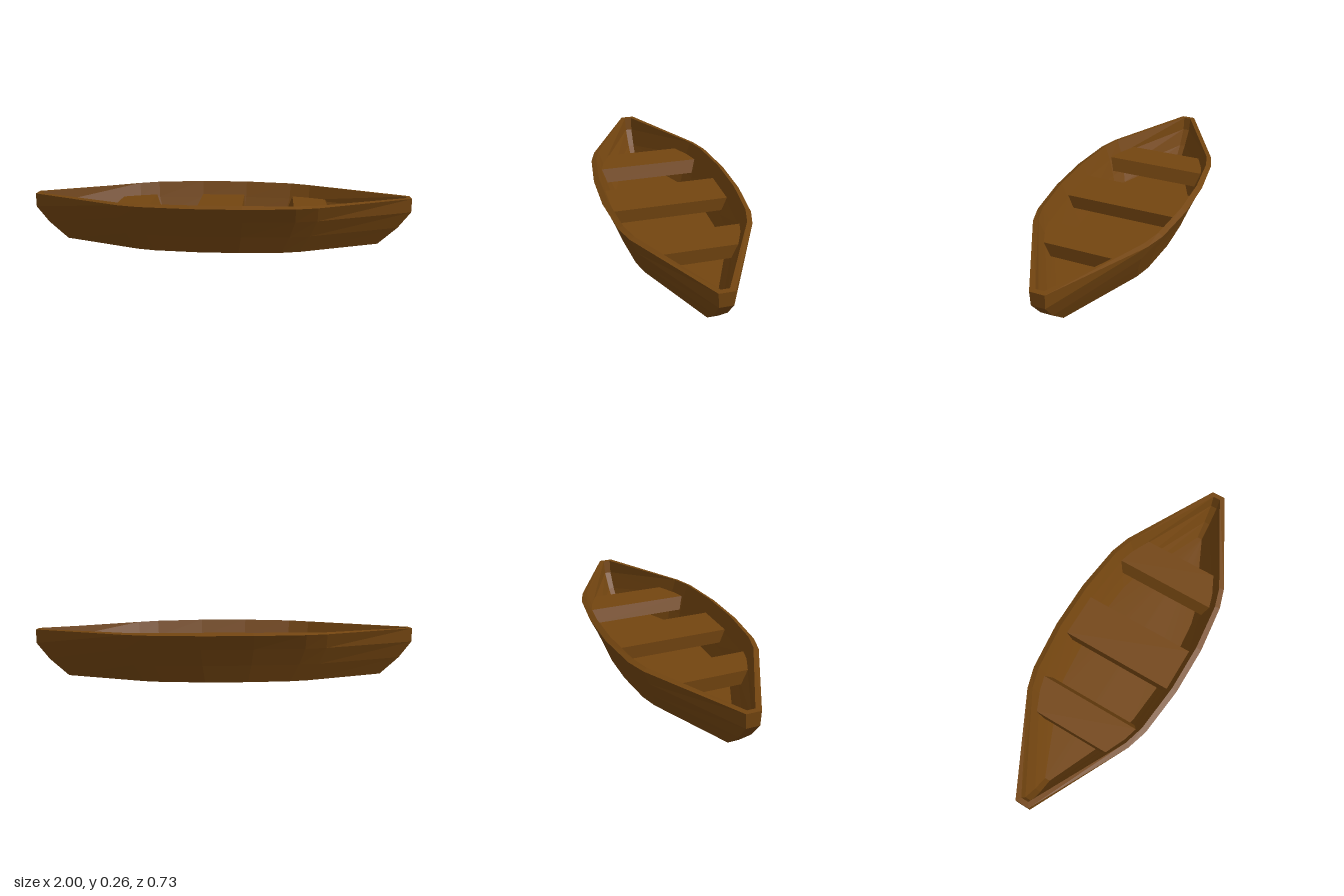
import * as THREE from 'three';

// Closed loft through rings of points (each running from +x towards +z), capped at both ends
function loft(rings) {
  const pos = [];
  const tri = (a, b, c) => pos.push(...a, ...b, ...c);
  const n = rings[0].length;
  for (let r = 0; r < rings.length - 1; r++) {
    const lower = rings[r], upper = rings[r + 1];
    for (let i = 0; i < n; i++) {
      const j = (i + 1) % n;
      tri(lower[i], upper[i], lower[j]);
      tri(upper[i], upper[j], lower[j]);
    }
  }
  const first = rings[0], last = rings[rings.length - 1];
  const reversed = first[0][1] > last[0][1];
  for (let i = 1; i < n - 1; i++) {
    tri(first[0], first[i], first[i + 1]);
    if (!reversed) tri(last[0], last[i + 1], last[i]);
    else tri(last[0], last[i + 1], last[i]);
  }
  const geometry = new THREE.BufferGeometry();
  geometry.setAttribute('position', new THREE.Float32BufferAttribute(pos, 3));
  geometry.computeVertexNormals();
  return geometry;
}

// Pointed boat outline: blunt tips, three knees per quarter, mirrored in x and z
function hullRing(tipX, tipZ, maxZ, y, sheer = 0) {
  const sz = maxZ / 0.363;
  const quarter = [
    [tipX, y, tipZ],
    [0.5 * tipX, y + sheer * 0.5, 0.3 * sz],
    [0.39 * tipX, y + sheer * 0.75, 0.334 * sz],
    [0.13 * tipX, y + sheer, maxZ],
  ];
  const half = [...quarter, ...quarter.slice().reverse().map(([x, h, z]) => [-x, h, z])];
  return [...half, ...half.slice().reverse().map(([x, h, z]) => [x, h, -z])];
}

// Symmetric bench outline from [x, half width] pairs running from high x to low x
function benchRing(profile, y) {
  const side = profile.map(([x, w]) => [x, y, w]);
  return [...side, ...side.slice().reverse().map(([x, h, w]) => [x, h, -w])];
}

export function createModel() {
  const boat = new THREE.Group();
  boat.name = 'rowingBoat';
  const wood = new THREE.MeshStandardMaterial({ color: 0x734510 });
  wood.name = 'brown wood';
  wood.flatShading = true;

  const add = (name, rings) => {
    const mesh = new THREE.Mesh(loft(rings), wood);
    mesh.name = name;
    boat.add(mesh);
  };

  // Hull: up the outside, over the rim, then down the inside to the floor
  add('hull', [
    hullRing(0.835, 0.027, 0.26, 0),
    hullRing(0.935, 0.03, 0.293, 0.09),
    hullRing(1, 0.034, 0.328, 0.175),
    hullRing(1, 0.037, 0.363, 0.247),
    hullRing(0.975, 0.02, 0.335, 0.248, 0.012),
    hullRing(0.96, 0.018, 0.303, 0.175),
    hullRing(0.895, 0.016, 0.268, 0.09),
    hullRing(0.82, 0.014, 0.24, 0.025),
  ]);

  // Benches: their ends follow the sloping sides of the hull
  const benchTop = 0.187, benchBottom = 0.115;
  add('middleBench', [
    benchRing([[0.115, 0.278], [-0.125, 0.278]], benchBottom),
    benchRing([[0.115, 0.306], [-0.125, 0.306]], benchTop),
  ]);

  const endBottom = [[0.57, 0.174], [0.445, 0.231], [0.36, 0.252]];
  const endTop = [[0.57, 0.206], [0.465, 0.255], [0.39, 0.277]];
  const mirrorX = (profile) => profile.map(([x, w]) => [-x, w]).reverse();
  add('leftBench', [benchRing(endBottom, benchBottom), benchRing(endTop, benchTop)]);
  add('rightBench', [
    benchRing(mirrorX(endBottom), benchBottom),
    benchRing(mirrorX(endTop), benchTop),
  ]);

  return boat;
}
